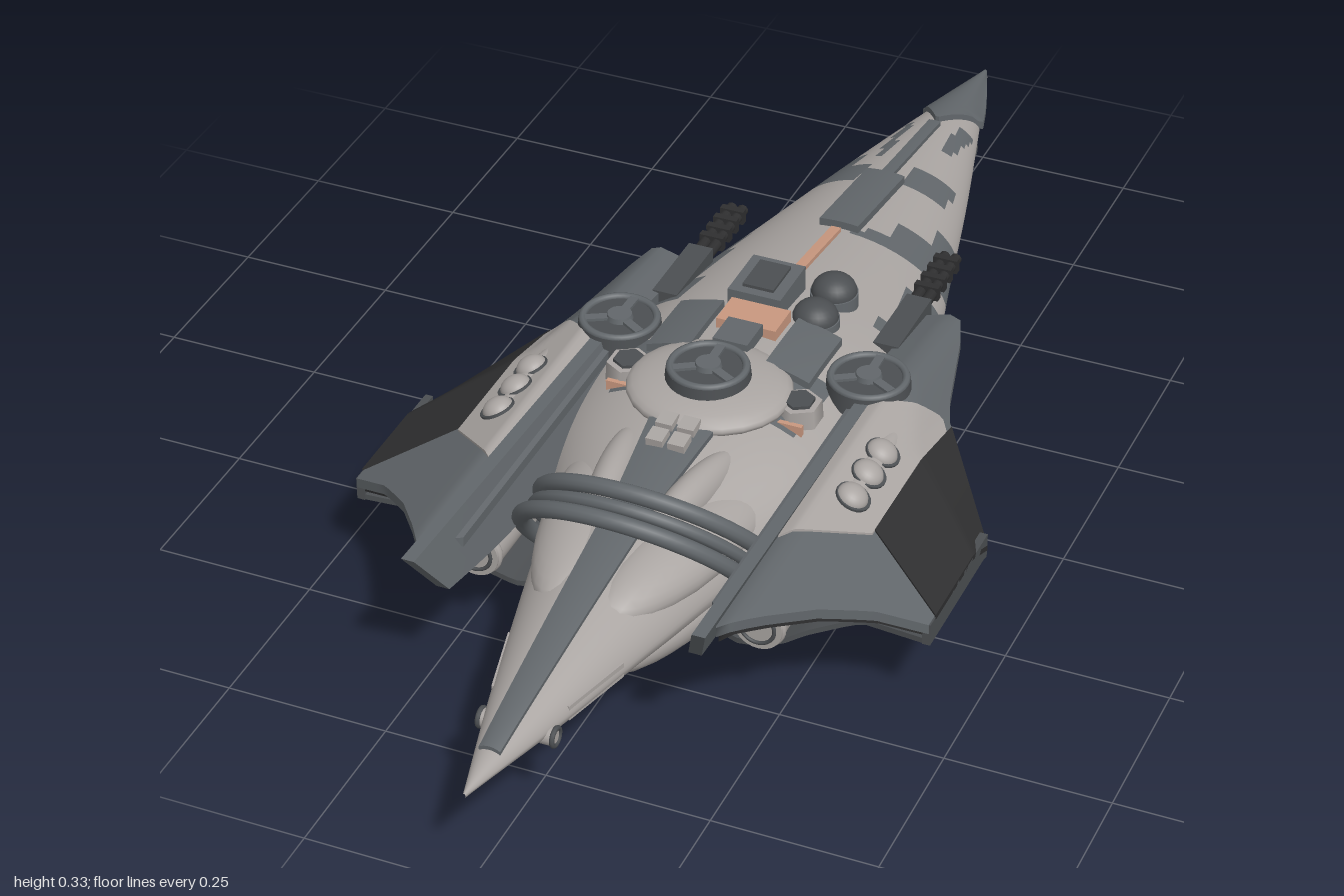
import * as THREE from 'three';

const mat = (name, color) => {
  const m = new THREE.MeshStandardMaterial({ color });
  m.name = name;
  return m;
};

// Hull half-widths, tops and bottoms at even steps from z = -1 to z = 1
const MID = 0.16;
const WIDTH = [0.003, 0.06, 0.115, 0.165, 0.215, 0.25, 0.235, 0.16, 0.108, 0.058, 0.002];
const TOP = [0.165, 0.2, 0.225, 0.25, 0.275, 0.295, 0.292, 0.265, 0.235, 0.2, 0.163];
const BOTTOM = [0.155, 0.125, 0.095, 0.06, 0.028, 0.02, 0.03, 0.065, 0.1, 0.125, 0.155];

// Smooth lookup in an evenly spaced table
function at(table, z) {
  const p = THREE.MathUtils.clamp((z + 1) * 5, 0, 9.9999), i = Math.floor(p), t = p - i;
  const a = table[i], b = table[i + 1];
  const m0 = i > 0 ? (b - table[i - 1]) / 2 : b - a;
  const m1 = i < 9 ? (table[i + 2] - a) / 2 : b - a;
  return (2 * t ** 3 - 3 * t * t + 1) * a + (t ** 3 - 2 * t * t + t) * m0
    + (3 * t * t - 2 * t ** 3) * b + (t ** 3 - t * t) * m1;
}

// Straight-line lookup in [x, value] pairs
function along(pairs, x) {
  for (let i = 1; i < pairs.length; i++) {
    const [x0, v0] = pairs[i - 1], [x1, v1] = pairs[i];
    if (x <= x1) return v0 + (v1 - v0) * Math.max(0, (x - x0) / (x1 - x0));
  }
  return pairs[pairs.length - 1][1];
}

const lerp = THREE.MathUtils.lerp;

function hullY(x, z, up = true) {
  const c = Math.min(1, Math.abs(x) / at(WIDTH, z));
  return MID + (at(up ? TOP : BOTTOM, z) - MID) * (1 - c * c) ** 0.6;
}

// Bent plate: path(u, v) gives its middle surface, dir its thickness direction
function plate(path, thick, nu = 10, nv = 16, dir = [0, 1, 0]) {
  const g = new THREE.BoxGeometry(1, 1, 1, nu, 1, nv), p = g.attributes.position;
  for (let i = 0; i < p.count; i++) {
    const h = p.getY(i) * thick, q = path(p.getX(i) + 0.5, p.getZ(i) + 0.5);
    p.setXYZ(i, q[0] + dir[0] * h, q[1] + dir[1] * h, q[2] + dir[2] * h);
  }
  g.computeVertexNormals();
  return g;
}

const skin = (x0, x1, z0, z1, thick, up = true, taper = 1) => plate((u, v) => {
  const z = lerp(z0, z1, v), x = lerp(x0, x1, u) * lerp(1, taper, v);
  return [x, hullY(x, z, up), z];
}, thick);

// Painted camouflage blocks on the upper hull: x0, x1, z0, z1
const CAMO = [[-0.13, -0.07, -0.64, -0.52], [-0.08, -0.045, -0.58, -0.52], [0.03, 0.1, -0.6, -0.54],
  [0.12, 0.2, -0.46, -0.33], [0.07, 0.13, -0.41, -0.34], [0.03, 0.08, -0.37, -0.33], [-0.2, -0.15, -0.4, -0.24],
  [-0.05, -0.035, -0.76, -0.62], [0.035, 0.06, -0.78, -0.68], [0.15, 0.24, -0.28, -0.12],
  [-0.24, -0.15, -0.28, -0.06], [-0.15, -0.08, 0.06, 0.2], [0.08, 0.15, 0.06, 0.2]];

function hullGeometry() {
  const rows = 120, sides = 56, pos = [], faces = [[], []];
  for (let i = 0; i <= rows; i++) {
    const z = -1 + 2 * i / rows;
    for (let j = 0; j < sides; j++) {
      const t = 2 * Math.PI * j / sides, s = Math.sin(t);
      const h = s >= 0 ? at(TOP, z) - MID : MID - at(BOTTOM, z);
      pos.push(at(WIDTH, z) * Math.cos(t), MID + h * Math.sign(s) * Math.abs(s) ** 1.2, z);
    }
  }
  for (let i = 0; i < rows; i++) for (let j = 0; j < sides; j++) {
    const k = (j + 1) % sides, a = i * sides + j, b = i * sides + k, c = a + sides, d = b + sides;
    const z = -1 + 2 * (i + 0.5) / rows, x = at(WIDTH, z) * Math.cos(2 * Math.PI * (j + 0.5) / sides);
    const dark = j < sides / 2 && CAMO.some(r => x > r[0] && x < r[1] && z > r[2] && z < r[3]);
    faces[dark ? 1 : 0].push(a, b, c, b, d, c);
  }
  const g = new THREE.BufferGeometry();
  g.setAttribute('position', new THREE.Float32BufferAttribute(pos, 3));
  g.setIndex(faces.flat());
  g.addGroup(0, faces[0].length, 0);
  g.addGroup(faces[0].length, faces[1].length, 1);
  g.computeVertexNormals();
  return g;
}

export function createModel() {
  const light = mat('lightGrey', 0xaaa5a2), slate = mat('slate', 0x62676b), dark = mat('darkGrey', 0x4c4f52);
  const black = mat('nearBlack', 0x2f2f30), copper = mat('copper', 0xc9987f);
  const model = new THREE.Group();

  const add = (name, g, m, p = [0, 0, 0], r = [0, 0, 0], s = [1, 1, 1]) => {
    const mesh = new THREE.Mesh(g, m);
    mesh.name = name;
    mesh.position.set(...p);
    mesh.rotation.set(...r);
    mesh.scale.set(...s);
    model.add(mesh);
    return mesh;
  };
  // Adds a part on the left and its mirror image on the right
  const pair = (name, ...rest) => {
    const a = add(name + 'Left', ...rest);
    a.updateMatrix();
    const g = a.geometry.clone().applyMatrix4(a.matrix).scale(-1, 1, 1);
    const ix = g.index.array;
    for (let i = 0; i < ix.length; i += 3) [ix[i], ix[i + 1]] = [ix[i + 1], ix[i]];
    add(name + 'Right', g, a.material);
  };
  const cyl = (r0, r1, h, n = 24) => new THREE.CylinderGeometry(r0, r1, h, n);
  const box = (x, y, z) => new THREE.BoxGeometry(x, y, z);
  const ball = () => new THREE.SphereGeometry(1, 24, 16);
  const FORWARD = [Math.PI / 2, 0, 0];

  // Hull, leaf-shaped tail cap and spine
  add('hull', hullGeometry(), [light, slate]);
  add('tailCap', plate((u, v) => {
    const z = lerp(-0.998, -0.77, v), s = u * 2 - 1;
    const w = along([[-1, 0.002], [-0.95, 0.021], [-0.9, 0.038], [-0.845, 0.053], [-0.77, 0.003]], z);
    const y = Math.max(hullY(s * w, z), at(TOP, z) - 0.03 * s * s) + 0.003;
    return [s * w, y, z];
  }, 0.014, 10, 24), slate);
  add('noseSpine', skin(-0.032, 0.032, 0.48, 0.92, 0.012, true, 0.5), slate);
  add('canopy', skin(-0.05, 0.05, 0.27, 0.46, 0.016, true, 0.6), slate);
  add('rearSpineBlock', skin(-0.032, 0.032, -0.54, -0.34, 0.025), slate);
  add('rearSpineRail', skin(-0.01, 0.01, -0.76, -0.54, 0.014), slate);
  add('copperSpineStrip', skin(-0.008, 0.008, -0.33, -0.14, 0.014), copper);

  // Nose bulges, side slots and bolts
  pair('upperNoseBulge', ball(), light, [0.083, 0.208, 0.44], [0, -0.22, -0.3], [0.06, 0.04, 0.2]);
  pair('lowerNoseBulge', ball(), light, [0.085, 0.118, 0.44], [0, -0.22, 0.4], [0.06, 0.045, 0.2]);
  pair('noseSidePanel', ball(), slate, [0.118, 0.2, 0.38], [0, -0.22, -0.6], [0.03, 0.024, 0.12]);
  pair('canopyBulge', ball(), light, [0.062, 0.248, 0.37], [0, -0.15, 0], [0.028, 0.034, 0.12]);
  pair('noseSlot', box(0.02, 0.024, 0.12), light, [0.064, 0.162, 0.73], [0, -0.25, 0]);
  for (const z of [0.83, -0.79]) {
    pair('bolt', cyl(0.014, 0.014, 0.02, 16), light, [0.047, 0.15, z], [0, 0, Math.PI / 2]);
    pair('boltRing', new THREE.TorusGeometry(0.013, 0.004, 8, 16), dark, [0.056, 0.15, z], [0, Math.PI / 2, 0]);
  }

  // Slanted double ring round the nose
  for (const z of [0.358, 0.428])
    add('noseRing', new THREE.TorusGeometry(0.175, 0.013, 12, 72), slate, [0, 0.162, z], [0.68, 0, 0], [1, 1.08, 1]);
  add('innerRing', new THREE.TorusGeometry(0.17, 0.01, 8, 72), slate, [0, 0.162, 0.393], [0.68, 0, 0], [1, 1.08, 1]);

  // Wings: sloping upper plate, light root, black outer panel, black lining and tip
  const front = x => along([[0.2, 0.6], [0.225, 0.67], [0.27, 0.6], [0.32, 0.53], [0.38, 0.47], [0.45, 0.43]], x);
  const back = x => along([[0.19, -0.2], [0.26, -0.2], [0.31, 0], [0.45, 0.2]], x);
  const upper = x => along([[0.19, 0.25], [0.24, 0.264], [0.45, 0.164]], x);
  const wingTop = (x, z) => upper(x) - 0.1 * Math.max(0, 0.25 - (z - back(x)) / (front(x) - back(x)));
  const wingPart = (x0, x1, z0, z1, lift, thick) => plate((u, v) => {
    const x = lerp(x0, x1, u), z = lerp(z0(x), z1(x), v);
    return [x, wingTop(x, z) + lift, z];
  }, thick, 16, 24);
  pair('upperWing', wingPart(0.19, 0.447, back, front, 0, 0.016), slate);
  pair('wingRoot', wingPart(0.222, 0.325, x => along([[0.22, 0.1], [0.31, 0.02], [0.33, 0.05]], x),
    x => lerp(0.44, 0.34, (x - 0.222) / 0.103), 0.007, 0.009), light);
  pair('wingPanel', wingPart(0.325, 0.449, back, x => lerp(0.33, 0.41, (x - 0.325) / 0.124), 0.007, 0.009), black);
  pair('wingLining', wingPart(0.192, 0.445, x => back(x) + 0.01, x => front(x) - 0.01, -0.013, 0.014), black);
  pair('wingTip', box(0.012, 0.036, 0.23), dark, [0.443, 0.154, 0.315]);

  // Thin curved sheet under each wing, reaching in to the hull
  const sheetY = x => along([[0.1, 0.088], [0.18, 0.09], [0.22, 0.1], [0.27, 0.12], [0.32, 0.13], [0.45, 0.141]], x);
  pair('lowerWing', plate((u, v) => {
    const x = lerp(0.1, 0.447, u);
    const z0 = along([[0.1, 0.36], [0.17, 0.24], [0.24, 0.05], [0.31, 0.02], [0.45, 0.2]], x);
    const z1 = along([[0.1, 0.44], [0.17, 0.47], [0.24, 0.47], [0.34, 0.41], [0.45, 0.43]], x);
    const z = lerp(z0, z1, v);
    const rise = Math.max(0, 1 - v * 2.2) * along([[0.26, 0], [0.3, 0.4], [0.45, 0.4]], x);
    return [x, lerp(sheetY(x), wingTop(x, z) - 0.02, rise), z];
  }, 0.009, 24, 16), dark);

  // Long leaning fins
  pair('fin', plate((u, v) => {
    const y = lerp(lerp(0.27, 0.29, v), lerp(0.22, 0.215, v) - 0.03 * Math.sin(Math.PI * v), u);
    return [0.183 + 0.36 * (y - 0.19), y, lerp(0.08, 0.715 - 0.05 * u, v)];
  }, 0.02, 4, 16, [1, 0, 0]), slate);

  // Engine pods beside the hull
  pair('podHousing', ball(), light, [0.245, 0.185, 0.13], [0, 0, 0], [0.05, 0.05, 0.26]);
  pair('podShoulder', ball(), light, [0.262, 0.225, 0.22], [0, 0, -0.5], [0.03, 0.042, 0.18]);
  pair('pod', cyl(0.037, 0.037, 0.62, 32), light, [0.22, 0.157, 0.2], FORWARD);
  pair('podTail', cyl(0.037, 0.015, 0.1, 32), light, [0.22, 0.157, -0.16], FORWARD);
  pair('podCollar', new THREE.TorusGeometry(0.033, 0.007, 10, 32), light, [0.22, 0.157, 0.5]);
  pair('podGroove', new THREE.TorusGeometry(0.026, 0.003, 8, 32), dark, [0.22, 0.157, 0.511]);
  for (const z of [-0.02, 0.36])
    pair('podBand', cyl(0.042, 0.042, 0.05, 32), light, [0.22, 0.157, z], FORWARD);

  // Rear guns, two on each side
  for (const [y, z] of [[0.237, -0.22], [0.112, -0.19]]) {
    pair('gunMount', box(0.04, 0.03, 0.14), dark, [0.18, y, z + 0.07]);
    for (const dx of [-0.009, 0.009])
      pair('gunBarrel', cyl(0.009, 0.009, 0.22, 10), black, [0.178 + dx, y, z - 0.03], FORWARD);
    for (let i = 0; i < 4; i++)
      pair('gunBand', box(0.039, 0.023, 0.012), black, [0.178, y, z - 0.04 - i * 0.027]);
  }

  // Round turrets with crossed ribs
  const turret = (put, x, y, z, r) => {
    put('turretBase', cyl(r, r * 1.05, 0.03, 32), dark, [x, y - 0.015, z]);
    put('turretRim', new THREE.TorusGeometry(r * 0.9, 0.006, 8, 40), slate, [x, y, z], FORWARD);
    put('turretHub', cyl(r * 0.3, r * 0.35, 0.012, 20), slate, [x, y + 0.002, z]);
    for (let i = 0; i < 3; i++)
      put('turretRib', box(r * 0.65, 0.009, 0.014), slate,
        [x + Math.cos(i * 2.094 + 0.5) * r * 0.58, y, z + Math.sin(i * 2.094 + 0.5) * r * 0.58], [0, -i * 2.094 - 0.5, 0]);
  };
  turret(pair, 0.2, 0.277, 0.04, 0.062);
  turret(add, 0, 0.326, 0.17, 0.062);

  // Deck fittings
  add('deckHump', ball(), light, [0, 0.285, 0.165], [0, 0, 0], [0.125, 0.03, 0.115]);
  pair('hexSocket', cyl(0.034, 0.036, 0.03, 6), light, [0.135, 0.272, 0.15]);
  pair('hexCap', cyl(0.024, 0.024, 0.006, 6), dark, [0.135, 0.289, 0.15]);
  pair('copperHexFront', box(0.04, 0.02, 0.008), copper, [0.135, 0.262, 0.187]);
  pair('deckShoulder', skin(0.06, 0.13, -0.03, 0.1, 0.024), slate);
  for (const z of [-0.135, -0.06]) {
    add('sensorDome', ball(), dark, [0.075, 0.288, z], [0, 0, 0], [0.035, 0.028, 0.035]);
    add('sensorBase', cyl(0.037, 0.037, 0.03, 24), slate, [0.075, 0.272, z]);
  }
  add('deckBlock', box(0.085, 0.05, 0.1), slate, [-0.012, 0.298, -0.08]);
  add('deckBlockCap', box(0.05, 0.012, 0.07), dark, [-0.012, 0.322, -0.08]);
  add('copperDeck', box(0.095, 0.03, 0.06), copper, [0, 0.295, 0.0]);
  add('copperDeckCover', box(0.055, 0.02, 0.06), slate, [0, 0.308, 0.06]);
  for (const z of [0.28, 0.315])
    pair('deckTile', box(0.026, 0.014, 0.028), light, [0.017, hullY(0, z) + 0.012, z], [0.12, 0, 0]);

  // Small domed canisters on the wing roots
  for (const z of [0.185, 0.24, 0.3]) {
    pair('canister', ball(), light, [0.278, 0.258, z], [0, 0, -0.45], [0.024, 0.018, 0.024]);
    pair('canisterBase', cyl(0.027, 0.027, 0.012, 20), dark, [0.278, 0.255, z], [0, 0, -0.45]);
  }

  // Copper panels on the underside
  pair('copperBellyPanel', skin(0.03, 0.085, -0.18, 0.04, 0.014, false), copper);
  pair('copperSidePanel', skin(0.165, 0.2, -0.02, 0.21, 0.014, false), copper);
  pair('copperFrontPanel', skin(0.09, 0.14, 0.13, 0.25, 0.014, false), copper);

  return model;
}
